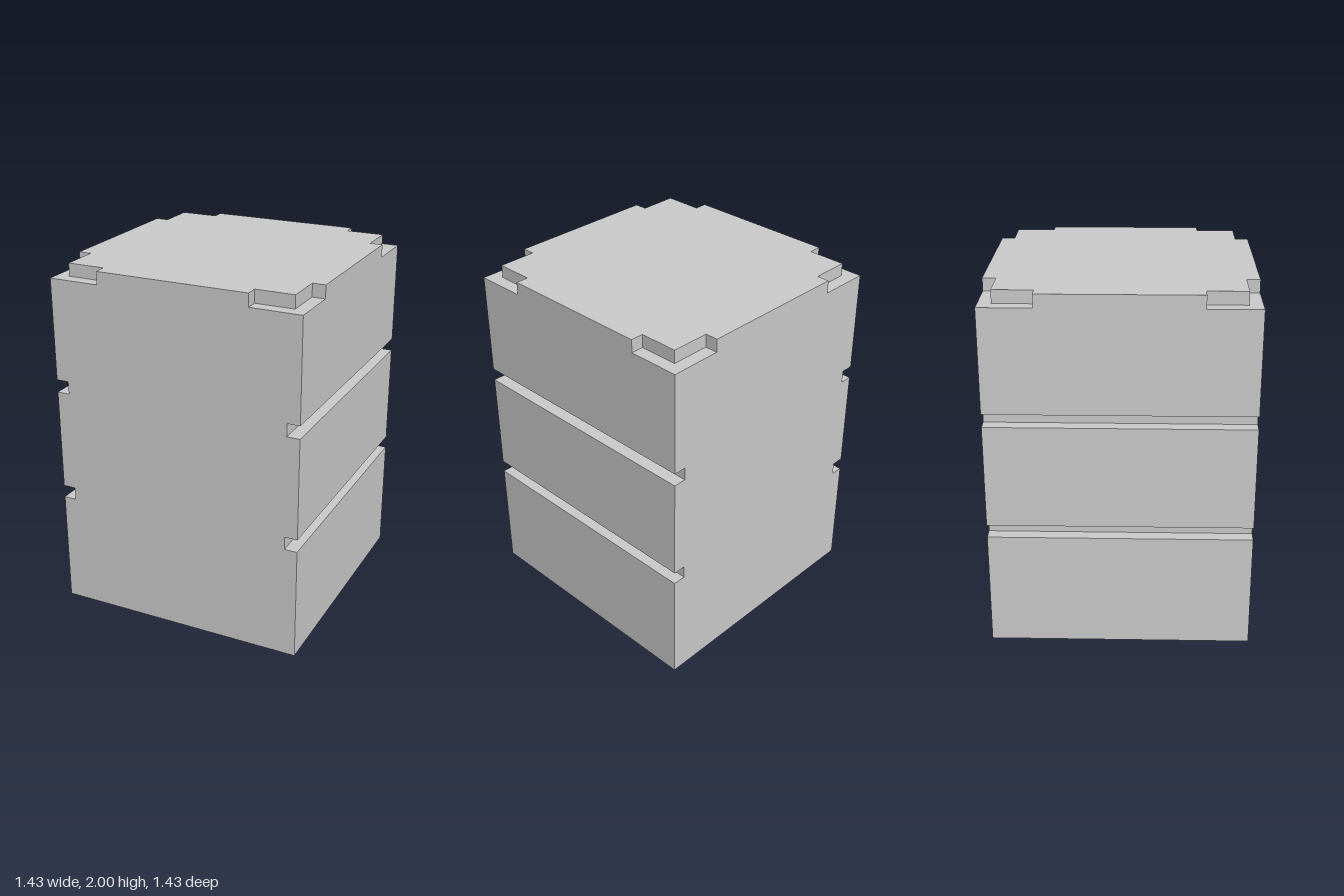
import * as THREE from 'three';

const U = 1 / 14;        // module: half width is 10 U, groove is 1 U
const HALF = 10 * U;
const STEP = 26.999 * U; // placeholder level replaced below by exact shoulder height
const SHOULDER = 27 * U; // height of the corner ledges
const TOP = 28 * U;

// Mirrors a list of [x, y] points across x = 0 and closes it into a shape
function mirroredShape(right) {
  const left = right.map(([x, y]) => [-x, y]).reverse();
  return new THREE.Shape([...right, ...left].map(([x, y]) => new THREE.Vector2(x, y)));
}

export function createModel() {
  const group = new THREE.Group();
  const material = new THREE.MeshStandardMaterial({ color: 0xcccccc, flatShading: true });
  const add = (name, geometry) => {
    const mesh = new THREE.Mesh(geometry, material);
    mesh.name = name;
    group.add(mesh);
  };

  // Body: block with two grooves running front to back on each side
  const side = [[HALF, 0]];
  for (const y of [9 * U, 18 * U]) {
    side.push([HALF, y], [9 * U, y], [9 * U, y + U], [HALF, y + U]);
  }
  side.push([HALF, SHOULDER]);
  const body = new THREE.ExtrudeGeometry(mirroredShape(side), { depth: 2 * HALF, bevelEnabled: false });
  body.translate(0, 0, -HALF);
  add('groovedBody', body);

  // Top slab: square with an L-shaped ledge cut out around every corner
  const a = 6 * U, b = 9 * U;
  const outline = [
    [a, -HALF], [a, -b], [b, -b], [b, -a], [HALF, -a],
    [HALF, a], [b, a], [b, b], [a, b], [a, HALF],
  ];
  const slab = new THREE.ExtrudeGeometry(mirroredShape(outline), { depth: TOP - SHOULDER, bevelEnabled: false });
  slab.rotateX(-Math.PI / 2).translate(0, SHOULDER, 0);
  add('notchedTop', slab);

  return group;
}
